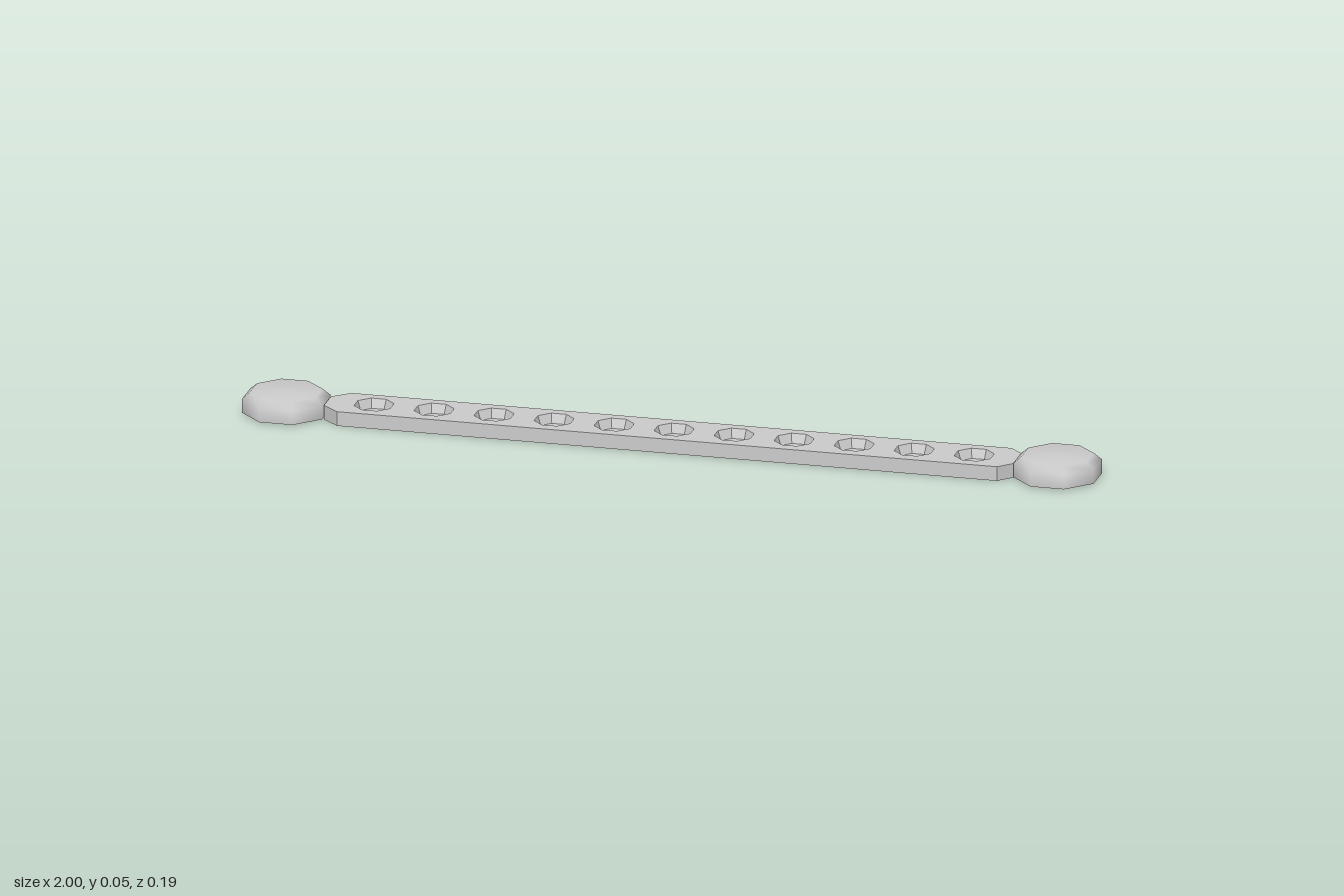
import * as THREE from 'three';

const BAR_TOP = 0.034, PIT_FLOOR = 0.012, PIT_Z = -0.004, PIT_R = 0.046;
const pitX = Array.from({ length: 11 }, (_, i) => 0.004 + (i - 5) * 0.141);

// Long bar outline with chamfered corners
function barOutline() {
  const corners = [[-0.81, -0.03], [-0.77, -0.066], [0.78, -0.066], [0.815, -0.03],
    [0.815, 0.035], [0.78, 0.07], [-0.77, 0.07], [-0.81, 0.035]];
  return new THREE.Shape(corners.map(([x, y]) => new THREE.Vector2(x, y)));
}

// Eight-sided hole, flat sides facing along the bar
function pitOutline(x) {
  return new THREE.Path(Array.from({ length: 8 }, (_, i) => {
    const a = -(i + 0.5) * Math.PI / 4;
    return new THREE.Vector2(x + PIT_R * Math.cos(a), -PIT_Z + PIT_R * Math.sin(a));
  }));
}

function slab(shape, y, height) {
  return new THREE.ExtrudeGeometry(shape, { depth: height, bevelEnabled: false })
    .rotateX(-Math.PI / 2).translate(0, y, 0);
}

export function createModel() {
  const group = new THREE.Group();
  const grey = new THREE.MeshStandardMaterial({ color: 0xcccccc });
  const flat = new THREE.MeshStandardMaterial({ color: 0xcccccc, flatShading: true });
  const inside = new THREE.MeshStandardMaterial({ color: 0xcccccc, flatShading: true, side: THREE.BackSide });

  function add(name, geometry, material, x = 0, y = 0, z = 0) {
    const mesh = new THREE.Mesh(geometry, material);
    mesh.name = name;
    mesh.position.set(x, y, z);
    group.add(mesh);
  }

  // Bar: solid base under a pierced deck
  add('barBase', slab(barOutline(), 0, PIT_FLOOR), flat);
  const deck = barOutline();
  deck.holes = pitX.map(pitOutline);
  add('barDeck', slab(deck, PIT_FLOOR, BAR_TOP - PIT_FLOOR), flat);

  // Tapered walls of the pits
  const depth = BAR_TOP - PIT_FLOOR;
  const wall = new THREE.CylinderGeometry(PIT_R, 0.038, depth, 8, 1, true).rotateY(Math.PI / 8);
  for (const x of pitX) add('pitWall', wall, inside, x, PIT_FLOOR + depth / 2, PIT_Z);

  // Smooth rounded knob at each end, with a flat underside
  const profile = [[0.102, 0.003], [0.102, 0.036], [0.083, 0.052], [0, 0.055]]
    .map(([r, y]) => new THREE.Vector2(r, y));
  const knob = new THREE.LatheGeometry(profile, 8, Math.PI / 8);
  const underside = new THREE.CircleGeometry(0.102, 8, Math.PI / 8).rotateX(Math.PI / 2);
  for (const [side, x] of [['left', 0.906], ['right', -0.906]]) {
    add(side + 'Knob', knob, grey, x);
    add(side + 'KnobUnderside', underside, grey, x, 0.003);
  }
  return group;
}
